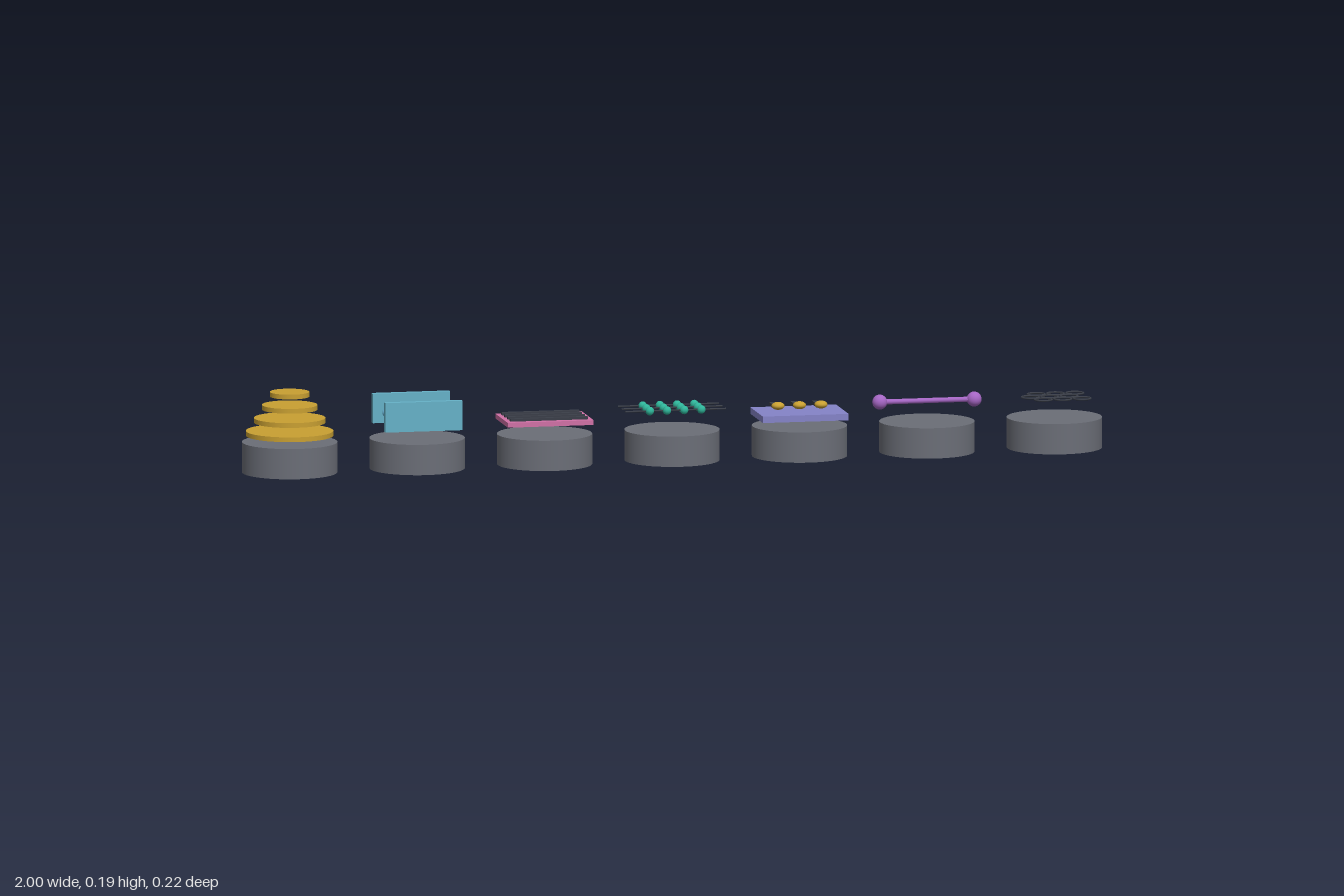
import * as THREE from 'three';

const mat = (name, color) => {
  const m = new THREE.MeshStandardMaterial({ color });
  m.name = name;
  return m;
};

export function createModel() {
  const model = new THREE.Group();
  model.name = 'exhibitRow';

  const slate = mat('slate grey', 0x6b6e77);
  const dark = mat('dark grey', 0x3a3e48);
  const gold = mat('gold', 0xc9a032);
  const blue = mat('blue', 0x66b2c8);
  const sky = mat('sky blue', 0x6cb8dc);
  const pink = mat('pink', 0xd070a6);
  const teal = mat('teal', 0x2fb59a);
  const periwinkle = mat('periwinkle', 0x8583c8);
  const purple = mat('purple', 0xa566c4);

  const add = (parent, name, geometry, material, x, y, z) => {
    const mesh = new THREE.Mesh(geometry, material);
    mesh.name = name;
    mesh.position.set(x, y, z);
    parent.add(mesh);
    return mesh;
  };
  const box = (w, h, d) => new THREE.BoxGeometry(w, h, d);
  const ball = (r, ws = 20, hs = 14) => new THREE.SphereGeometry(r, ws, hs);
  const rodX = (r, length) => new THREE.CylinderGeometry(r, r, length, 12).rotateZ(Math.PI / 2);

  // Seven round pedestals, each carrying one exhibit
  const pedestal = new THREE.CylinderGeometry(0.109, 0.109, 0.07, 48);
  const names = ['discStack', 'plateChannel', 'stripedPlate', 'beadedWires', 'gatedPlate', 'dumbbell', 'ringLattice'];
  const exhibits = names.map((name, i) => {
    const group = new THREE.Group();
    group.name = name;
    group.position.x = (i - 3) * 0.297;
    add(group, 'pedestal', pedestal, slate, 0, 0.035, 0);
    model.add(group);
    return group;
  });
  const [discs, channel, striped, wires, gated, dumbbell, lattice] = exhibits;

  // Separated discs, shrinking upwards
  for (let i = 0; i < 4; i++) {
    const r = 0.1 - i * 0.0183;
    add(discs, 'disc', new THREE.CylinderGeometry(r, r, 0.011, 40), gold, 0, 0.09 + i * 0.03, 0);
  }

  // Two upright plates with a row of balls between them
  for (const side of [-1, 1]) add(channel, 'uprightPlate', box(0.18, 0.068, 0.0145), blue, 0, 0.13, side * 0.07);
  for (let i = 0; i < 4; i++) add(channel, 'channelBall', ball(0.0105), sky, (i - 1.5) * 0.047, 0.13, 0);

  // Flat plate with raised strips
  add(striped, 'flatPlate', box(0.2, 0.011, 0.14), pink, 0, 0.1025, 0);
  for (let i = 0; i < 4; i++) add(striped, 'strip', box(0.18, 0.006, 0.011), dark, 0, 0.111, (i - 1.5) * 0.032);

  // Three thin wires, each threaded with four beads
  for (const z of [-0.04, 0, 0.04]) {
    add(wires, 'wire', rodX(0.002, 0.235), dark, 0, 0.12, z);
    for (let i = 0; i < 4; i++) add(wires, 'bead', ball(0.01, 10, 8), teal, (i - 1.5) * 0.04, 0.12, z);
  }

  // Plate with three flattened dots and the bars behind them
  add(gated, 'basePlate', box(0.2, 0.015, 0.14), periwinkle, 0, 0.096, 0);
  for (const x of [-0.05, 0, 0.05]) {
    add(gated, 'dot', ball(0.015), gold, x, 0.116, 0).scale.y = 0.6;
    add(gated, 'bar', box(0.012, 0.008, 0.055), dark, x, 0.11, -0.045);
  }

  // Rod with a ball on each end
  add(dumbbell, 'rod', rodX(0.006, 0.22), purple, 0, 0.117, 0);
  for (const side of [-1, 1]) add(dumbbell, 'endBall', ball(0.0172), purple, side * 0.11, 0.117, 0);

  // Staggered lattice of thin rings
  const ring = new THREE.TorusGeometry(0.02, 0.0022, 8, 24).rotateX(Math.PI / 2);
  for (let row = -1; row <= 1; row++) {
    const shift = row === 0 ? -0.011 : 0.011;
    for (let col = -1; col <= 1; col++) add(lattice, 'ring', ring, dark, col * 0.045 + shift, 0.117, row * 0.04);
  }

  return model;
}
